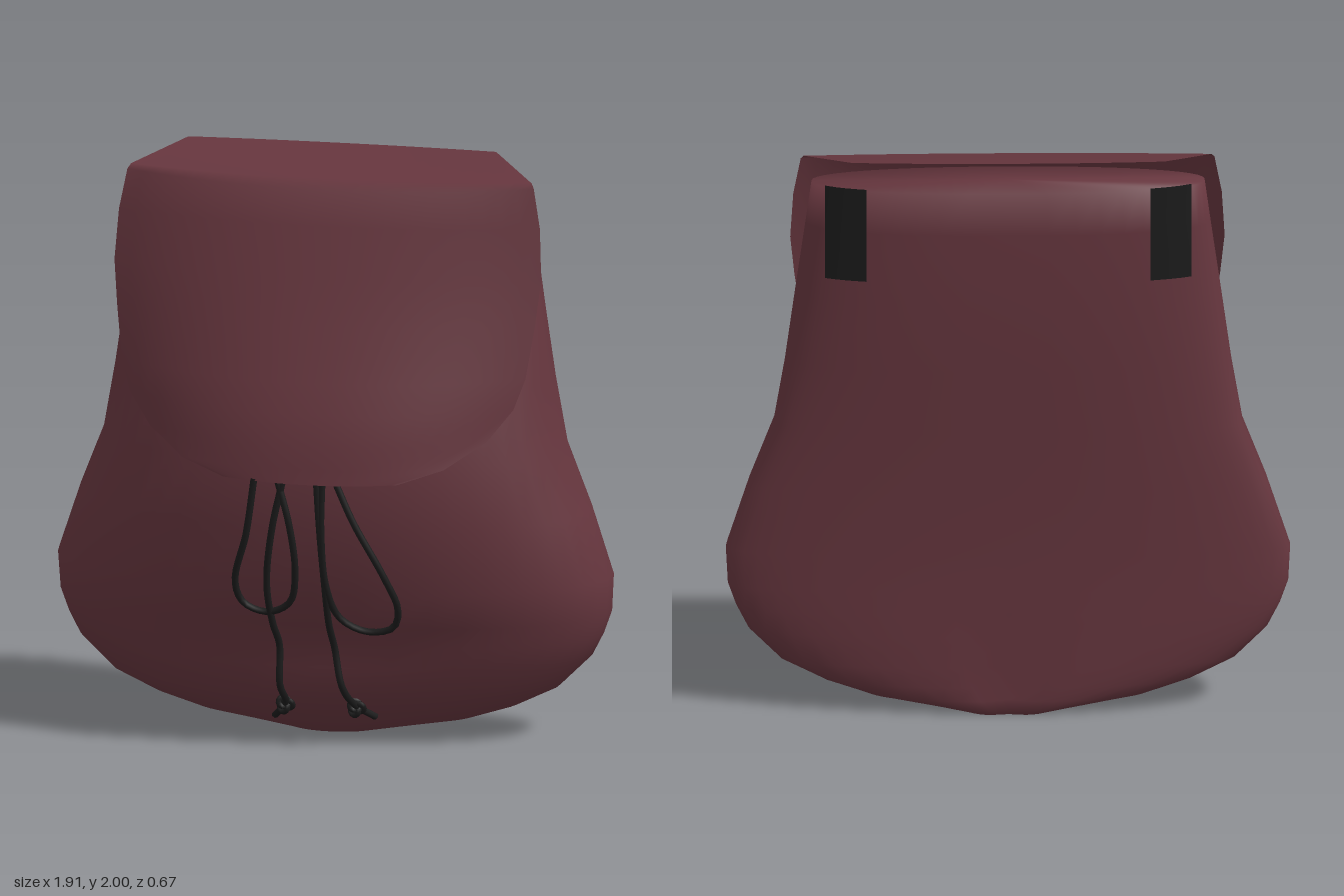
import * as THREE from 'three';

const cloth = new THREE.MeshStandardMaterial({ color: 0x66363e, side: THREE.DoubleSide });
cloth.name = 'burgundy cloth';
const black = new THREE.MeshStandardMaterial({ color: 0x1b1b1b, side: THREE.DoubleSide });
black.name = 'black webbing';

// Roundness of the front and back halves of a body section
const FRONT_POWER = 2.15, BACK_POWER = 2.5;

// Body sections: y, half width, front z, side z, back z, front pinch, back pinch
const BODY = [
  [0, 0.17, -0.06, -0.19, -0.32, 0, 0.015],
  [0.05, 0.48, -0.01, -0.19, -0.32, 0, 0.02],
  [0.1, 0.63, 0.04, -0.19, -0.32, 0, 0.02],
  [0.17, 0.77, 0.1, -0.19, -0.318, 0, 0.018],
  [0.28, 0.88, 0.15, -0.19, -0.314, 0.005, 0.01],
  [0.36, 0.92, 0.175, -0.19, -0.311, 0.04, 0.005],
  [0.44, 0.948, 0.205, -0.19, -0.309, 0.01, 0],
  [0.57, 0.955, 0.248, -0.185, -0.307, 0, 0],
  [0.8, 0.88, 0.29, -0.19, -0.312, 0, 0],
  [1.02, 0.795, 0.288, -0.19, -0.32, 0, 0],
  [1.25, 0.755, 0.23, -0.18, -0.33, 0, 0],
  [1.5, 0.72, 0.115, -0.17, -0.338, 0, 0],
  [1.75, 0.685, 0.005, -0.178, -0.333, 0, 0],
  [1.9, 0.665, -0.07, -0.19, -0.325, 0, 0],
];

// Flap sections: half width, edge y, edge z, centre y, centre z
const FLAP = [
  [0.53, 2, -0.285, 2, -0.3],
  [0.69, 1.95, -0.09, 1.94, -0.05],
  [0.7, 1.935, -0.075, 1.915, 0],
  [0.725, 1.8, -0.055, 1.8, 0.048],
  [0.735, 1.63, -0.025, 1.63, 0.11],
  [0.72, 1.48, 0.005, 1.48, 0.17],
  [0.695, 1.3, 0.05, 1.3, 0.243],
  [0.66, 1.2, 0.085, 1.2, 0.285],
  [0.58, 1.1, 0.145, 1.1, 0.314],
  [0.45, 1.02, 0.24, 1.02, 0.326],
  [0.3, 0.975, 0.295, 0.97, 0.335],
];

// Cord depth by height: y, z
const CORD_Z = [
  [0.07, 0.035], [0.15, 0.11], [0.22, 0.165], [0.36, 0.17],
  [0.45, 0.217], [0.6, 0.272], [0.8, 0.31], [0.97, 0.317],
];

// Linear lookup in a table whose first column rises
function lookup(table, y) {
  let i = 1;
  while (i < table.length - 1 && table[i][0] < y) i++;
  const a = table[i - 1], b = table[i];
  const t = THREE.MathUtils.clamp((y - a[0]) / (b[0] - a[0]), 0, 1);
  return a.map((v, k) => v + (b[k] - v) * t);
}

// Smooth skin over rows of points
function loft(rows, closed = false) {
  const n = rows[0].length, index = [];
  for (let r = 0; r < rows.length - 1; r++) {
    for (let c = 0; c < (closed ? n : n - 1); c++) {
      const a = r * n + c, b = r * n + (c + 1) % n;
      index.push(a, a + n, b, b, a + n, b + n);
    }
  }
  const g = new THREE.BufferGeometry();
  g.setAttribute('position', new THREE.Float32BufferAttribute(rows.flat(2), 3));
  g.setIndex(index);
  g.computeVertexNormals();
  return g;
}

function addMesh(parent, name, geometry, material) {
  const m = new THREE.Mesh(geometry, material);
  m.name = name;
  parent.add(m);
  return m;
}

// Rounded section: deep front with a gathered fold, shallow back with a pleat
function bodyRow([y, w, front, side, back, fold, pleat]) {
  return Array.from({ length: 48 }, (_, i) => {
    const t = (i / 48) * Math.PI * 2, c = Math.cos(t), s = Math.sin(t);
    const e = 2 / (s >= 0 ? FRONT_POWER : BACK_POWER);
    const x = w * Math.sign(c) * Math.abs(c) ** e, k = Math.abs(s) ** e;
    const z = s >= 0
      ? side + (front - side) * k - fold * Math.exp(-((x / 0.45) ** 2))
      : side + (back - side) * k + pleat * Math.exp(-((x / 0.05) ** 2));
    return [x, y, z];
  });
}

// Row shrunk to a point, closing an end of the body
function capRow(y) {
  return Array.from({ length: 48 }, () => [0, y, -0.19]);
}

function flapRow([w, ey, ez, cy, cz]) {
  return Array.from({ length: 25 }, (_, i) => {
    const u = i / 12 - 1, k = 1 - Math.abs(u) ** 2.2;
    return [w * u, ey + (cy - ey) * k, ez + (cz - ez) * k];
  });
}

function backZ(x, y) {
  const [, w, , side, back] = lookup(BODY, y);
  return side + (back - side) * (1 - Math.abs(x / w) ** BACK_POWER) ** (1 / BACK_POWER);
}

// Cord lying over the front, from x, y points
function cord(points) {
  const path = new THREE.CatmullRomCurve3(points.map(([x, y]) =>
    new THREE.Vector3(x, y, lookup(CORD_Z, y)[1] - 0.15 * x * x)));
  return new THREE.TubeGeometry(path, 48, 0.012, 7, false);
}

export function createModel() {
  const model = new THREE.Group();
  model.name = 'backpack';

  // Sack closed at the bottom and under the lid
  addMesh(model, 'body', loft([capRow(0), ...BODY.map(bodyRow), capRow(1.9)], true), cloth);

  // Lid folding over the front
  addMesh(model, 'flap', loft(FLAP.map(flapRow)), cloth);

  // Strap ends on the upper back
  for (const [name, mid] of [['leftStrap', 0.55], ['rightStrap', -0.55]]) {
    const rows = [1.58, 1.69, 1.8, 1.91].map(y =>
      [-0.07, -0.035, 0, 0.035, 0.07].map(d => [mid + d, y, backZ(mid + d, y) - 0.009]));
    addMesh(model, name, loft(rows), black);
  }

  // Drawstring bow: two loops, two knotted tails
  const bow = new THREE.Group();
  bow.name = 'drawstring';
  model.add(bow);
  const cords = {
    rightLoop: [[-0.19, 0.98], [-0.22, 0.78], [-0.265, 0.6], [-0.24, 0.52], [-0.16, 0.49],
      [-0.08, 0.53], [-0.055, 0.65], [-0.07, 0.82], [-0.11, 0.98]],
    rightTail: [[-0.09, 0.98], [-0.13, 0.8], [-0.155, 0.6], [-0.145, 0.45], [-0.13, 0.36],
      [-0.13, 0.22], [-0.12, 0.14], [-0.17, 0.075]],
    leftLoop: [[0.09, 0.98], [0.15, 0.84], [0.25, 0.64], [0.29, 0.52], [0.27, 0.45],
      [0.18, 0.43], [0.09, 0.48], [0.05, 0.6], [0.04, 0.8], [0.045, 0.98]],
    leftTail: [[0.025, 0.98], [0.035, 0.8], [0.045, 0.6], [0.05, 0.45], [0.06, 0.36],
      [0.085, 0.22], [0.12, 0.14], [0.18, 0.09]],
  };
  for (const [name, points] of Object.entries(cords)) addMesh(bow, name, cord(points), black);
  for (const [name, x] of [['rightKnot', -0.125], ['leftKnot', 0.12]]) {
    const knot = addMesh(bow, name, new THREE.TorusKnotGeometry(0.018, 0.01, 40, 6), black);
    knot.position.set(x, 0.13, lookup(CORD_Z, 0.13)[1]);
  }

  return model;
}
